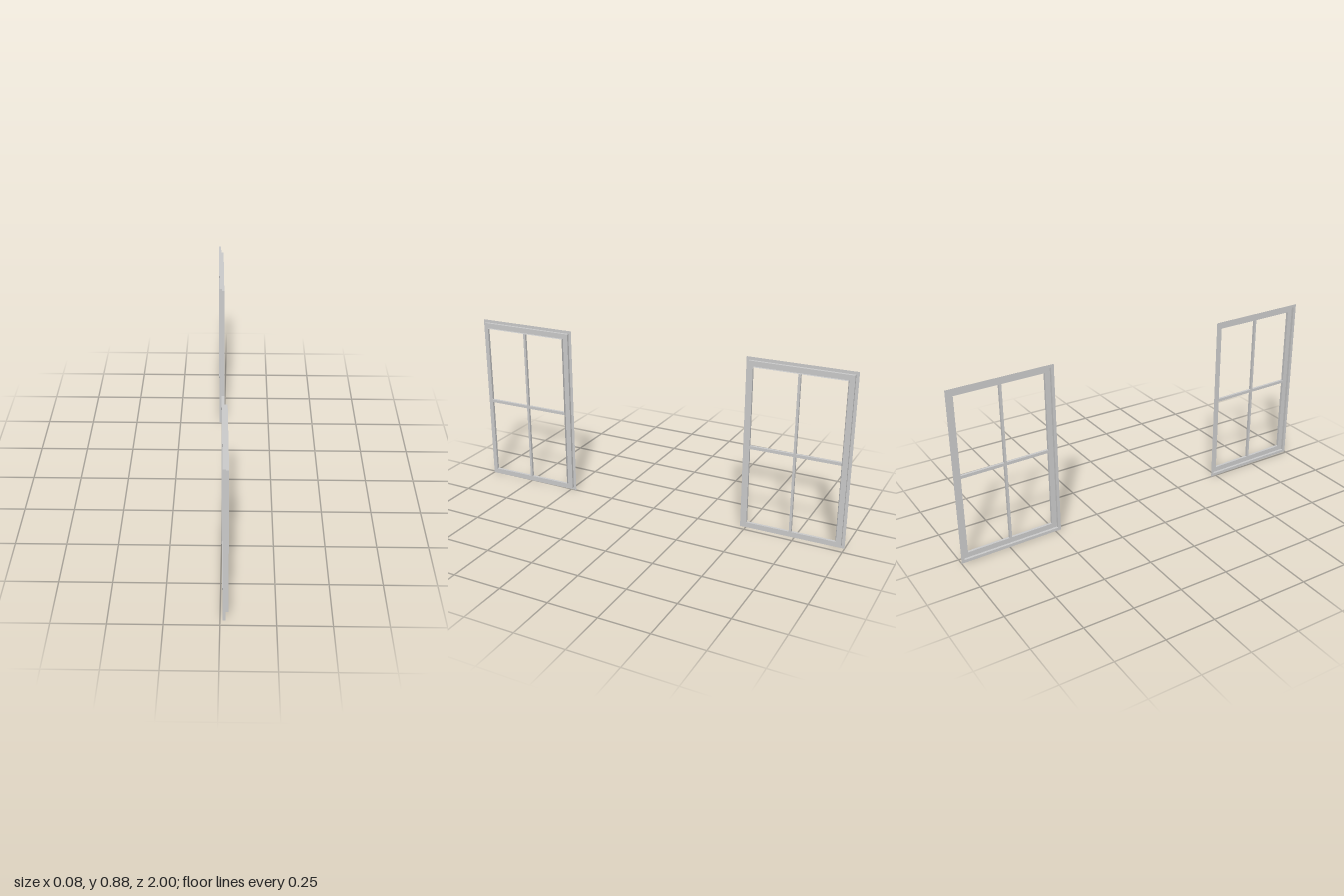
import * as THREE from 'three';

const W = 0.53, H = 0.885;      // outer size of one window
const STEP = 0.013;             // depth of each moulding step
const TILT = 0.0236;            // slight turn away from the z axis

const material = new THREE.MeshStandardMaterial({ color: 0xcccccc, side: THREE.DoubleSide, flatShading: true });

// Rectangular moulding: sweeps a profile of [inset, depth] points round the window
function mouldingGeometry(profile) {
  const corners = ([inset, depth]) => {
    const x = W / 2 - inset, y = H / 2 - inset;
    return [[-x, -y, depth], [x, -y, depth], [x, y, depth], [-x, y, depth]];
  };
  const positions = [];
  for (let i = 0; i < profile.length - 1; i++) {
    const a = corners(profile[i]), b = corners(profile[i + 1]);
    for (let k = 0; k < 4; k++) {
      const n = (k + 1) % 4;
      positions.push(...a[k], ...a[n], ...b[n], ...a[k], ...b[n], ...b[k]);
    }
  }
  const geometry = new THREE.BufferGeometry();
  geometry.setAttribute('position', new THREE.Float32BufferAttribute(positions, 3));
  geometry.computeVertexNormals();
  return geometry;
}

function addMesh(parent, name, geometry, z = 0) {
  const mesh = new THREE.Mesh(geometry, material);
  mesh.name = name;
  mesh.position.z = z;
  parent.add(mesh);
}

function createWindow(name) {
  const win = new THREE.Group();
  win.name = name;
  const opening = 0.041;

  // Flat flange, first step with its face, then the raised inner lip
  addMesh(win, 'outerFlange', mouldingGeometry([[0, 0], [0.015, 0]]));
  addMesh(win, 'steppedFrame', mouldingGeometry([[0.015, 0], [0.015, STEP], [opening, STEP]]));
  addMesh(win, 'innerLip', mouldingGeometry([[opening, STEP], [opening, 2 * STEP]]));

  // Crossed glazing bars
  addMesh(win, 'verticalBar', new THREE.BoxGeometry(0.012, H - 2 * opening, STEP), 1.5 * STEP);
  addMesh(win, 'horizontalBar', new THREE.BoxGeometry(W - 2 * opening, 0.015, STEP), 1.5 * STEP);

  win.rotation.y = Math.PI / 2 + TILT;
  return win;
}

export function createModel() {
  const model = new THREE.Group();
  model.name = 'windowPair';
  const placements = [['rearWindow', -0.0322, -0.735], ['frontWindow', 0.0062, 0.735]];
  for (const [name, x, z] of placements) {
    const win = createWindow(name);
    win.position.set(x, H / 2, z);
    model.add(win);
  }
  return model;
}
